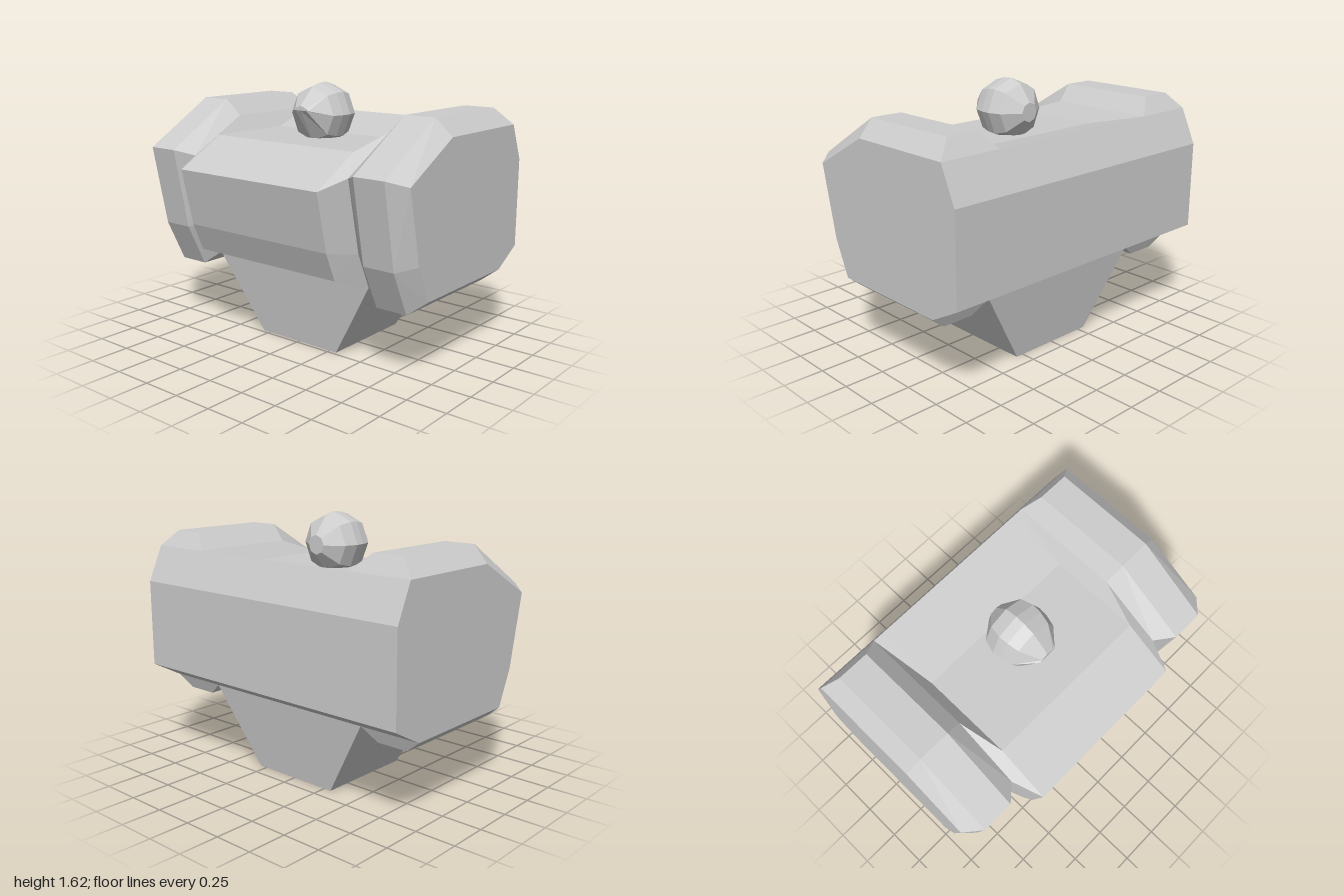
import * as THREE from 'three';

const material = new THREE.MeshStandardMaterial({ color: 0xcccccc, flatShading: true });

// Skin a row of closed [z, y] sections along x, cutting each quad on its shorter diagonal.
function loft(sections) {
  const rows = sections.map(([x, pts]) => pts.map(([z, y]) => new THREE.Vector3(x, y, z)));
  const out = [];
  const tri = (...v) => v.forEach(p => out.push(p.x, p.y, p.z));
  const n = rows[0].length;
  for (let i = 0; i < rows.length - 1; i++) {
    for (let j = 0; j < n; j++) {
      const k = (j + 1) % n;
      const a = rows[i][j], b = rows[i][k], c = rows[i + 1][k], d = rows[i + 1][j];
      if (a.distanceTo(c) < b.distanceTo(d)) { tri(a, b, c); tri(a, c, d); }
      else { tri(a, b, d); tri(b, c, d); }
    }
  }
  // flat end caps
  const first = rows[0], last = rows[rows.length - 1];
  for (let j = 1; j < n - 1; j++) {
    tri(last[0], last[j], last[j + 1]);
    tri(first[0], first[j + 1], first[j]);
  }
  const g = new THREE.BufferGeometry();
  g.setAttribute('position', new THREE.Float32BufferAttribute(out, 3));
  g.computeVertexNormals();
  return g;
}

export function createModel() {
  const model = new THREE.Group();
  const add = (name, geometry) => {
    const mesh = new THREE.Mesh(geometry, material);
    mesh.name = name;
    model.add(mesh);
    return mesh;
  };

  // Body: the back is shared by all sections; top, front and underside change along x
  const section = front => [[-0.59, 1.38], ...front, [-0.49, 0.5], [-0.69, 0.61], [-0.69, 1.16]];
  const end = section([[-0.59, 1.38], [0.11, 1.38], [0.51, 1.165], [0.41, 0.72], [0.31, 0.5], [-0.49, 0.5]]);
  const collar = section([[-0.52, 1.48], [0.13, 1.48], [0.6, 1.2], [0.5, 0.69], [0.37, 0.42], [-0.46, 0.42]]);
  const middle = section([[-0.2, 1.285], [0.37, 1.285], [0.69, 1.11], [0.61, 0.755], [0.535, 0.58], [0.31, 0.5]]);
  const half = [[1, end], [0.9, collar], [0.7, collar], [0.6, end], [0.53, middle]];
  add('body', loft([...half.map(([x, s]) => [-x, s]), ...half.reverse()]));

  // Neck: a box tapering to the base
  const neck = new THREE.BoxGeometry(1.2, 0.5, 0.8);
  const np = neck.attributes.position;
  for (let i = 0; i < np.count; i++) {
    if (np.getY(i) < 0) np.setXYZ(i, np.getX(i) * 0.5, np.getY(i), np.getZ(i) * 0.8);
  }
  neck.translate(0, 0.25, -0.09);
  add('neck', neck);

  // Knob: eight-sided ball lying along z, its front tip cut off below the brim
  const profile = [[0, -0.2], [0.06, -0.2], [0.165, -0.12], [0.19, -0.04], [0.185, 0.02], [0.165, 0.09], [0.06, 0.2], [0, 0.2]];
  const knob = new THREE.LatheGeometry(profile.map(([r, y]) => new THREE.Vector2(r, y)), 8);
  knob.rotateX(Math.PI / 2);
  knob.translate(0, 1.43, 0);
  const kp = knob.attributes.position;
  for (let i = 0; i < kp.count; i++) {
    if (kp.getZ(i) > 0.15) kp.setY(i, Math.max(kp.getY(i), 1.46));
  }
  add('topKnob', knob);

  return model;
}
